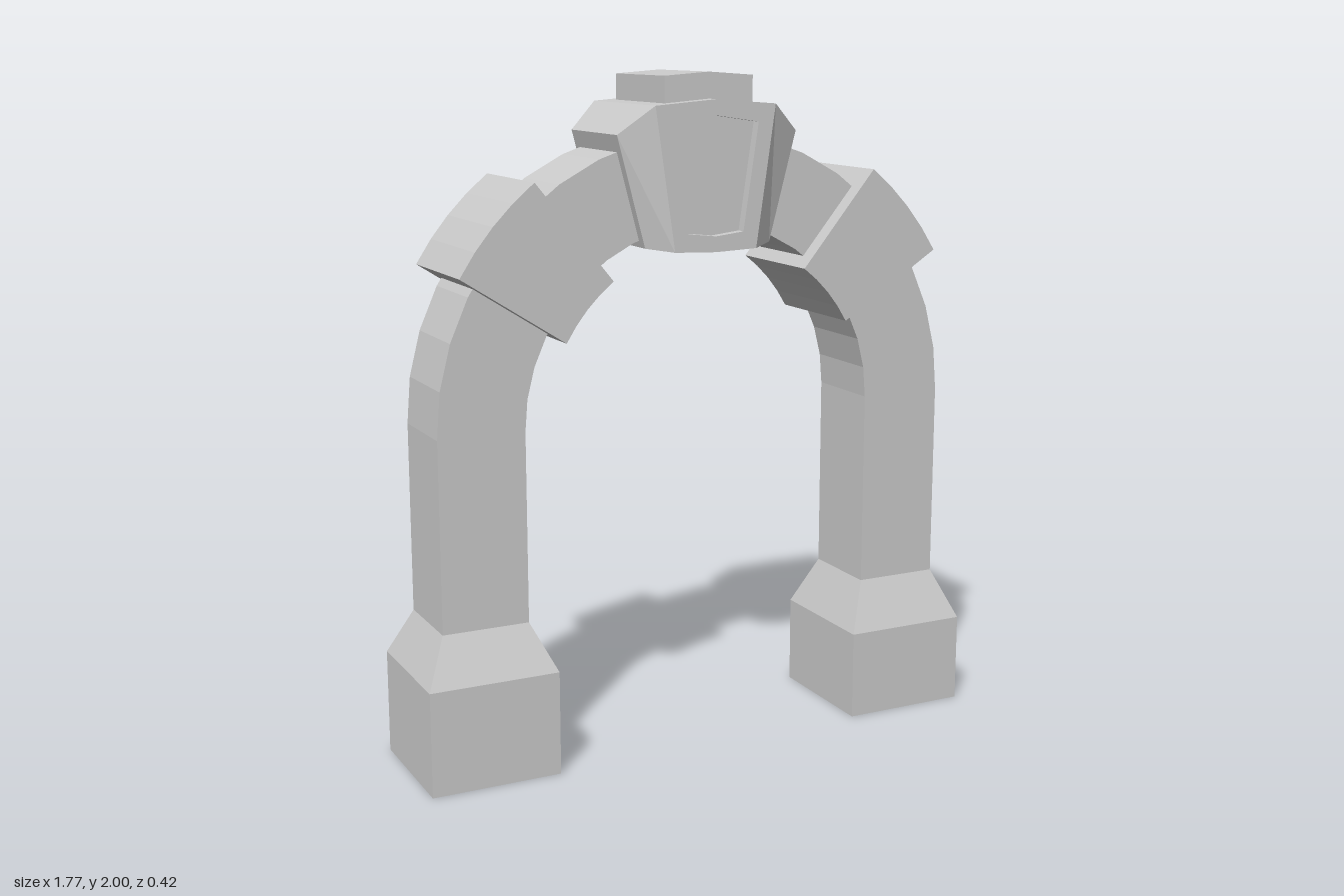
import * as THREE from 'three';

const stone = new THREE.MeshStandardMaterial({ color: 0xcccccc, flatShading: true });
const thinStone = new THREE.MeshStandardMaterial({ color: 0xcccccc, flatShading: true, side: THREE.DoubleSide });
const V = (x, y, z) => new THREE.Vector3(x, y, z);

// Skins a row of equal-sized rings, closes the ends, and turns all faces outward
function loft(name, rings, { caps = true, skip = () => false, material = stone } = {}) {
  const n = rings[0].length, tris = [];
  let volume = 0;
  const mid = V(0, 0, 0);
  rings.flat().forEach(p => mid.addScaledVector(p, 1 / (n * rings.length)));
  const add = (a, b, c, hidden = false) => {
    volume += a.clone().sub(mid).dot(b.clone().sub(mid).cross(c.clone().sub(mid)));
    if (!hidden) tris.push([a, b, c]);
  };
  for (let i = 0; i < rings.length - 1; i++) {
    for (let j = 0; j < n; j++) {
      const k = (j + 1) % n, hidden = skip(i, j);
      add(rings[i][j], rings[i][k], rings[i + 1][k], hidden);
      add(rings[i][j], rings[i + 1][k], rings[i + 1][j], hidden);
    }
  }
  if (caps) {
    const first = rings[0], last = rings[rings.length - 1];
    for (let j = 1; j < n - 1; j++) {
      add(first[0], first[j + 1], first[j]);
      add(last[0], last[j], last[j + 1]);
    }
  }
  const points = tris.flatMap(([a, b, c]) => (volume < 0 ? [a, c, b] : [a, b, c]));
  const geometry = new THREE.BufferGeometry().setFromPoints(points);
  geometry.computeVertexNormals();
  const mesh = new THREE.Mesh(geometry, material);
  mesh.name = name;
  return mesh;
}

// Four-cornered ring from two points in the xy plane, spread to both sides in z
const slab = ([ax, ay], [bx, by], z) => [V(ax, ay, -z), V(ax, ay, z), V(bx, by, z), V(bx, by, -z)];

const ARC_Y = 1.01; // height of the arch centre
const polar = (r, deg, side) => {
  const a = THREE.MathUtils.degToRad(deg);
  return [side * r * Math.cos(a), ARC_Y + r * Math.sin(a)];
};

// Flared foot, straight leg and curved arch in one skin
function makePillar(side, footTop, flareTop) {
  const level = (inner, outer, y, z) => slab([side * outer, y], [side * inner, y], z);
  const rings = [
    level(0.495, 0.885, 0, 0.197),
    level(0.495, 0.885, footTop, 0.197),
    level(0.56, 0.82, flareTop, 0.13),
  ];
  for (let i = 0; i <= 8; i++) {
    const deg = i * 9.5;
    rings.push(slab(polar(0.82, deg, side), polar(0.56, deg, side), 0.13));
  }
  return loft(side > 0 ? 'leftPillar' : 'rightPillar', rings);
}

// Thick block clasping the arch at its shoulder
function makeShoulder(side) {
  const rings = [];
  for (let i = 0; i <= 4; i++) {
    const t = i / 4;
    rings.push(slab(
      polar(0.885, 30.5 + 21.8 * t, side),
      polar(0.518, 29 + 24.5 * t, side), 0.183));
  }
  return loft(side > 0 ? 'leftShoulderBlock' : 'rightShoulderBlock', rings);
}

// Chamfered keystone with a sunken panel in its front
function makeKeystone() {
  const group = new THREE.Group();
  group.name = 'keystone';
  const front = 0.21, sunk = 0.18;
  const section = (s, top, bottom, z) => slab([s * top[0], top[1]], [s * bottom[0], bottom[1]], z);
  const body = loft('keystoneBody', [
    section(-1, [0.285, 1.83], [0.2, 1.51], 0.16),
    section(-1, [0.19, 1.91], [0.13, 1.5], front),
    section(1, [0, 1.925], [0, 1.495], front),
    section(1, [0.19, 1.91], [0.13, 1.5], front),
    section(1, [0.285, 1.83], [0.2, 1.51], 0.16),
  ], { skip: (i, j) => j === 1 && (i === 1 || i === 2) });

  const outline = (topX, topY, midTop, botX, botY, midBot) => [
    [-topX, topY], [0, midTop], [topX, topY], [botX, botY], [0, midBot], [-botX, botY],
  ].map(p => new THREE.Vector2(...p));
  const opening = outline(0.135, 1.86, 1.88, 0.088, 1.55, 1.54);

  // Flat frame around the opening
  const frameShape = new THREE.Shape(outline(0.19, 1.91, 1.925, 0.13, 1.5, 1.495));
  frameShape.holes.push(new THREE.Path(opening));
  const frame = new THREE.Mesh(new THREE.ShapeGeometry(frameShape), stone);
  frame.name = 'panelFrame';
  frame.position.z = front;

  // Sunken face and the walls leading to it
  const panel = new THREE.Mesh(new THREE.ShapeGeometry(new THREE.Shape(opening)), stone);
  panel.name = 'sunkenPanel';
  panel.position.z = sunk;
  const walls = loft('panelWalls',
    [sunk, front].map(z => opening.map(p => V(p.x, p.y, z))),
    { caps: false, material: thinStone });

  group.add(body, frame, panel, walls);
  return group;
}

// Low crowned slab on top of the keystone
const makeCap = () => loft('capStone', [
  slab([-0.14, 1.99], [-0.14, 1.9], 0.163),
  slab([0, 2], [0, 1.9], 0.163),
  slab([0.14, 1.99], [0.14, 1.9], 0.163),
]);

export function createModel() {
  const model = new THREE.Group();
  model.name = 'stoneArch';
  model.add(makePillar(1, 0.27, 0.42), makePillar(-1, 0.31, 0.45));
  for (const side of [1, -1]) model.add(makeShoulder(side));
  model.add(makeKeystone(), makeCap());
  return model;
}
